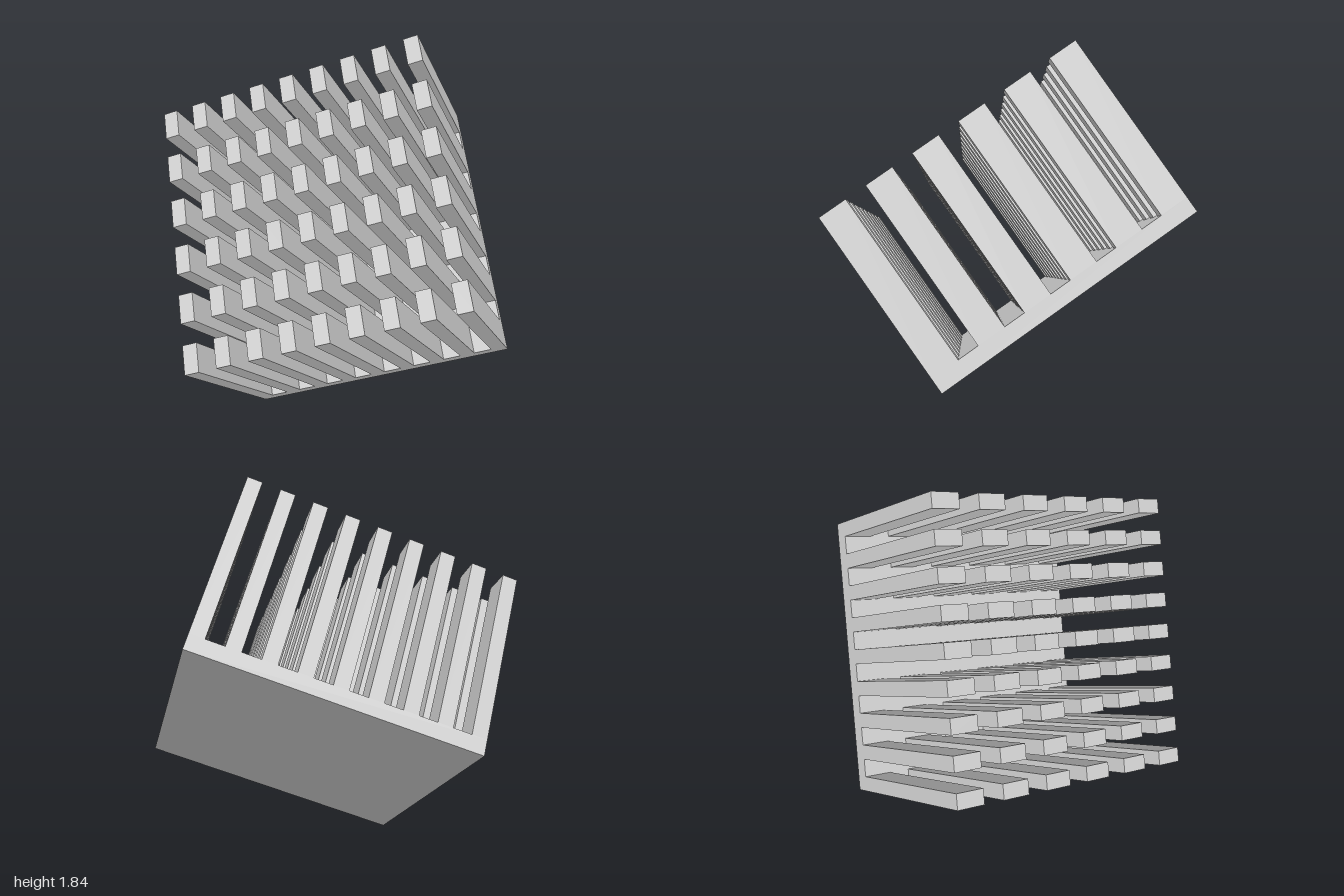
import * as THREE from 'three';

const WIDTH = 1.313, DEPTH = 1.308, HEIGHT = 0.89; // overall size before tilting
const BASE = 0.075;                                // base plate thickness
const COLS = 6, ROWS = 9;                          // pin grid
const PIN_W = 0.135, PIN_D = 0.07;                 // pin cross-section

export function createModel() {
  const model = new THREE.Group();
  model.name = 'pinFinHeatSink';
  const material = new THREE.MeshStandardMaterial({ color: 0xcccccc, flatShading: true });

  const sink = new THREE.Group();
  sink.name = 'tiltedBody';
  model.add(sink);

  // Base plate, with one corner at the local origin
  const plate = new THREE.Mesh(new THREE.BoxGeometry(WIDTH, BASE, DEPTH), material);
  plate.name = 'basePlate';
  plate.position.set(WIDTH / 2, BASE / 2, DEPTH / 2);
  sink.add(plate);

  // Grid of rectangular pins, flush with the plate's edges
  const pins = new THREE.Group();
  pins.name = 'pins';
  sink.add(pins);
  const pinHeight = HEIGHT - BASE;
  const pinGeometry = new THREE.BoxGeometry(PIN_W, pinHeight, PIN_D);
  for (let i = 0; i < COLS; i++) {
    for (let j = 0; j < ROWS; j++) {
      const pin = new THREE.Mesh(pinGeometry, material);
      pin.name = `pin_${i + 1}_${j + 1}`;
      pin.position.set(
        PIN_W / 2 + (i * (WIDTH - PIN_W)) / (COLS - 1),
        BASE + pinHeight / 2,
        PIN_D / 2 + (j * (DEPTH - PIN_D)) / (ROWS - 1)
      );
      pins.add(pin);
    }
  }

  // Tilt the whole block so that it stands on one corner of the plate
  const across = new THREE.Vector3(-0.761, 0.529, -0.375).normalize();
  const back = new THREE.Vector3(0.599, 0.352, -0.719);
  const up = back.clone().cross(across).normalize();
  back.crossVectors(across, up);
  sink.quaternion.setFromRotationMatrix(new THREE.Matrix4().makeBasis(across, up, back));
  sink.position.set(0, 0, 0.458);

  return model;
}
